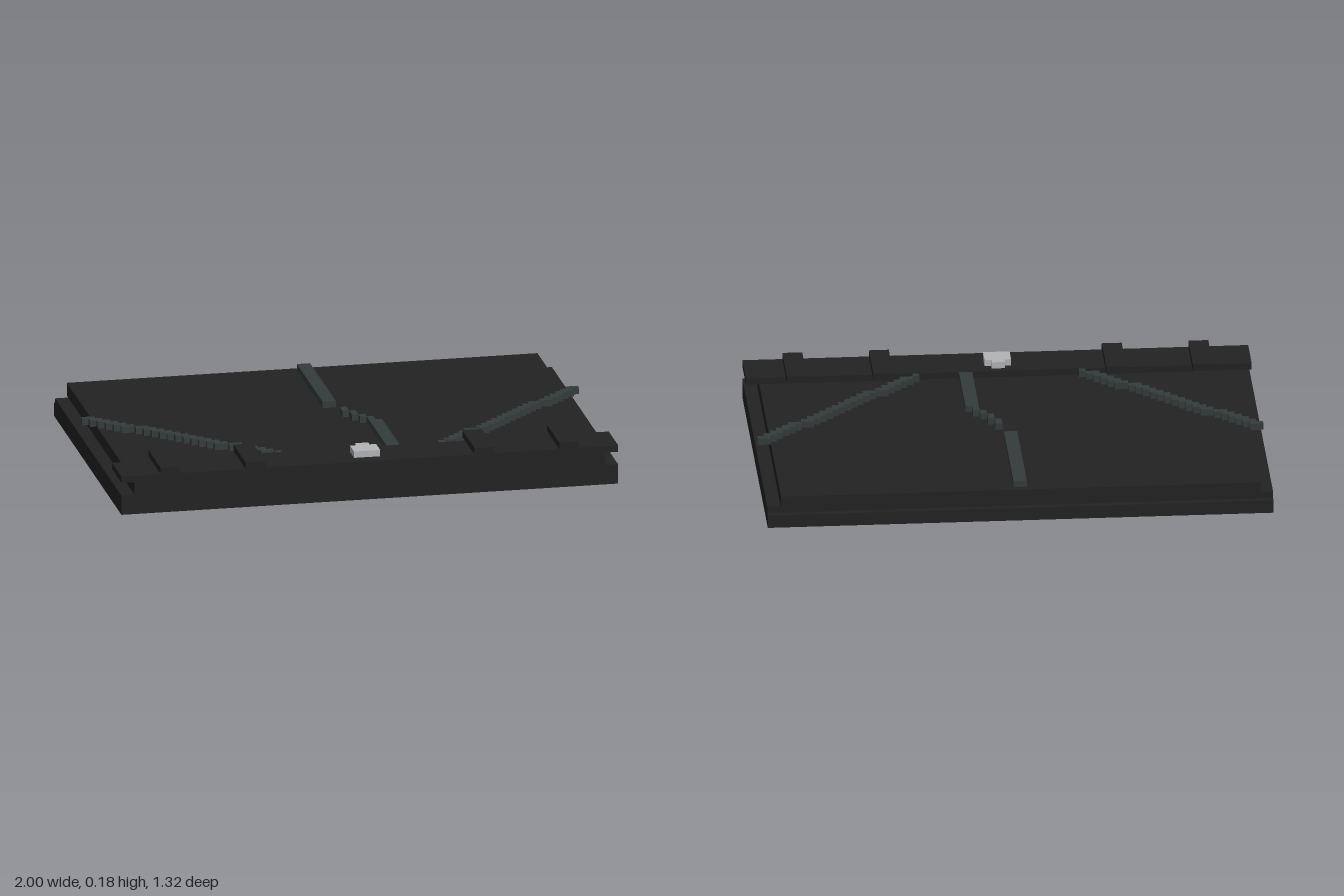
import * as THREE from 'three';

const U = 1 / 38; // one block of the model's grid

export function createModel() {
  const model = new THREE.Group();
  model.name = 'panelledSlab';

  const mat = (name, color) => {
    const m = new THREE.MeshStandardMaterial({ color });
    m.name = name;
    return m;
  };
  const black = mat('matteBlack', 0x222222);
  const slate = mat('slateGreen', 0x343b3b);
  const silver = mat('lightGrey', 0xb3b4b7);

  // Box given by its extents in grid units
  function block(parent, name, material, [x0, x1], [y0, y1], [z0, z1]) {
    const geo = new THREE.BoxGeometry((x1 - x0) * U, (y1 - y0) * U, (z1 - z0) * U);
    const mesh = new THREE.Mesh(geo, material);
    mesh.position.set(((x0 + x1) / 2) * U, ((y0 + y1) / 2) * U, ((z0 + z1) / 2) * U);
    mesh.name = name;
    parent.add(mesh);
    return mesh;
  }
  function group(name) {
    const g = new THREE.Group();
    g.name = name;
    model.add(g);
    return g;
  }

  // Stacked body: grooved at the back and along both sides
  block(model, 'base', black, [-38, 38], [0, 2], [-25, 25]);
  block(model, 'baseStep', black, [-38, 38], [2, 3], [-24, 25]);
  block(model, 'topSlab', black, [-36, 36], [3, 5], [-25, 25]);
  block(model, 'frontStrip', black, [-38, 38], [5, 6], [18, 25]);

  // Four straps lying over the front strip
  for (const side of [-1, 1]) {
    for (const x of [17.5, 30.5]) {
      block(model, 'strap', black, [side * x - 1.5, side * x + 1.5], [6, 7], [16, 25]);
    }
  }

  // Central seam, stepping towards the left as it runs forward
  const seam = group('centreSeam');
  const seamSteps = [
    [-1, 1, -24, -5],
    [1, 2, -2, 0],
    [2, 3, 0, 2],
    [3, 4, 2, 3.3],
    [4, 5, 3.3, 5],
    [4, 6, 5, 18],
  ];
  for (const [x0, x1, z0, z1] of seamSteps) {
    block(seam, 'seamStep', slate, [x0, x1], [5, 6], [z0, z1]);
  }

  // Mirrored diagonal seams, one step per row
  for (const side of [-1, 1]) {
    const diagonal = group(side > 0 ? 'leftDiagonalSeam' : 'rightDiagonalSeam');
    for (let row = 0; row < 23; row++) {
      const inner = Math.round(36 - (24 * row) / 22);
      const outer = inner + (row === 22 ? 1 : 2);
      const span = side > 0 ? [inner, outer] : [-outer, -inner];
      block(diagonal, 'seamStep', slate, span, [5, 6], [row - 5, row - 4]);
    }
  }

  // Small raised clasp on the front strip
  const clasp = group('clasp');
  block(clasp, 'claspBody', silver, [-2, 2], [6, 7], [20, 23]);
  block(clasp, 'claspTip', silver, [-1, 1], [6, 7], [19, 20]);

  return model;
}
